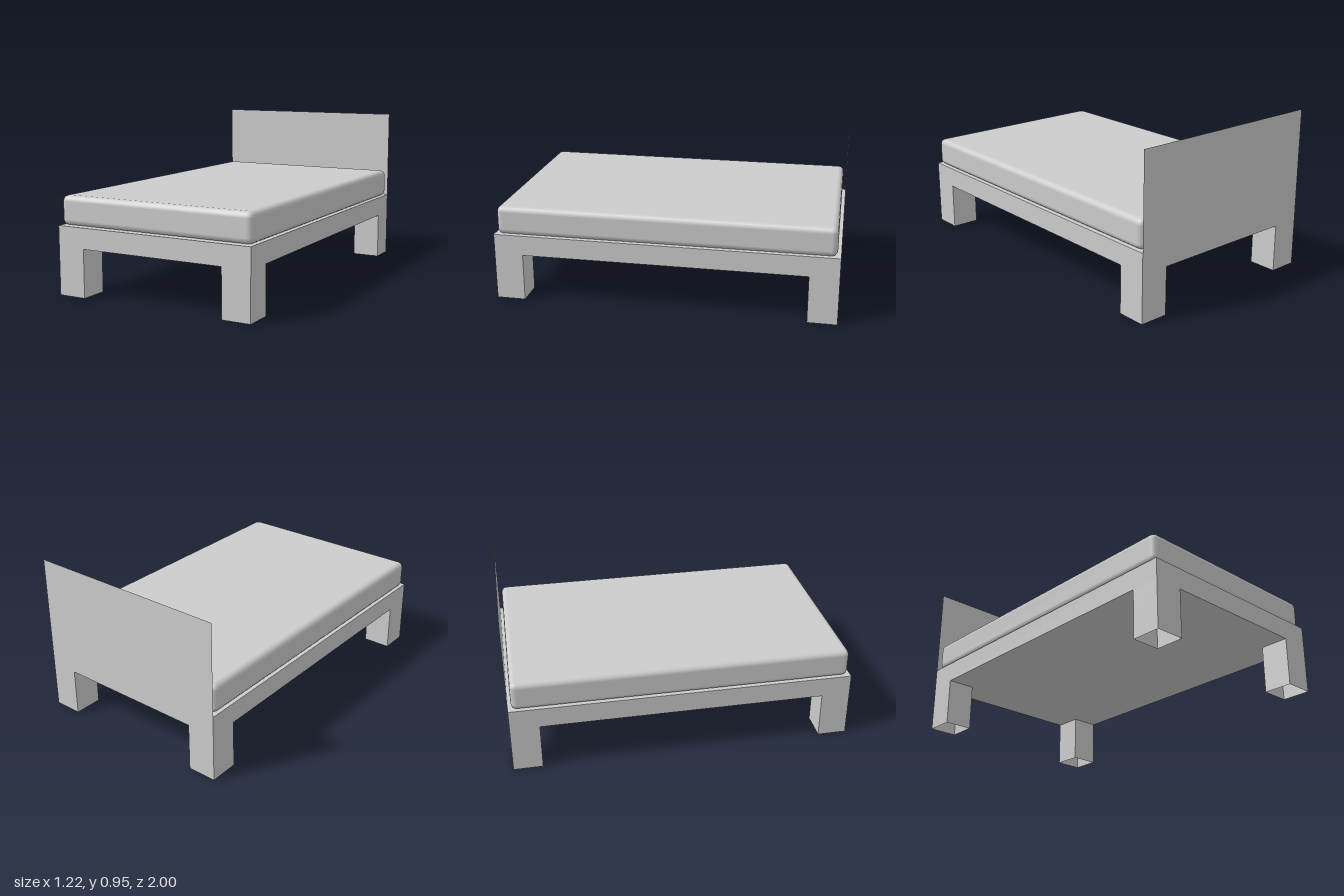
import * as THREE from 'three';
import { RoundedBoxGeometry } from 'three/addons/geometries/RoundedBoxGeometry.js';

const WIDTH = 1.22, LENGTH = 2, LEG = 0.17;
const RAIL_BOTTOM = 0.28, RAIL_TOP = 0.4, HEAD_TOP = 0.95;

const grey = new THREE.MeshStandardMaterial({ color: 0xcccccc, side: THREE.DoubleSide });
grey.name = 'light grey';

function add(group, name, geometry, x, y, z) {
  const mesh = new THREE.Mesh(geometry, grey);
  mesh.name = name;
  mesh.position.set(x, y, z);
  group.add(mesh);
}

// Square tube: a box without its top and bottom faces
function squareTube(side, height) {
  const geometry = new THREE.BoxGeometry(side, height, side);
  const index = Array.from(geometry.index.array);
  index.splice(12, 12);
  geometry.setIndex(index);
  geometry.clearGroups();
  return geometry;
}

export function createModel() {
  const bed = new THREE.Group();
  bed.name = 'bed';

  // Frame
  add(bed, 'frame', new THREE.BoxGeometry(WIDTH, RAIL_TOP - RAIL_BOTTOM, LENGTH),
    0, (RAIL_TOP + RAIL_BOTTOM) / 2, 0);

  // Hollow legs, open at the foot
  for (const [end, sz] of [['front', 1], ['back', -1]]) {
    for (const [side, sx] of [['Left', 1], ['Right', -1]]) {
      add(bed, `${end}${side}Leg`, squareTube(LEG, RAIL_BOTTOM),
        sx * (WIDTH - LEG) / 2, RAIL_BOTTOM / 2, sz * (LENGTH - LEG) / 2);
    }
  }

  // Thin headboard, flush with the back of the frame
  add(bed, 'headboard', new THREE.PlaneGeometry(WIDTH, HEAD_TOP - RAIL_TOP),
    0, (HEAD_TOP + RAIL_TOP) / 2, -LENGTH / 2);

  // Mattress with softened edges
  add(bed, 'mattress', new RoundedBoxGeometry(1.21, 0.17, 1.96, 2, 0.034),
    0, RAIL_TOP + 0.085, 0);

  return bed;
}
